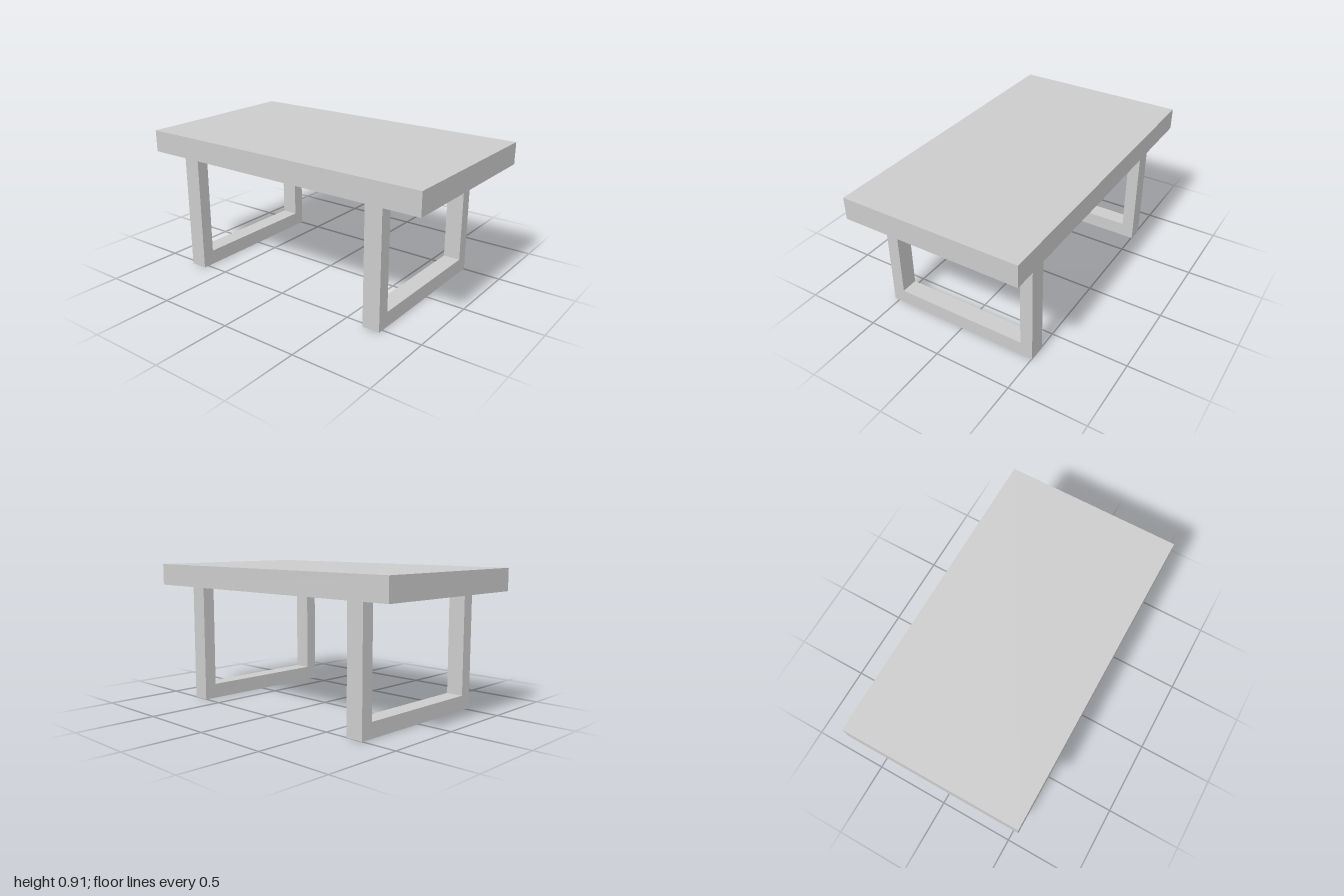
import * as THREE from 'three';

const TOP_Y = 0.907, UNDER_Y = 0.765;   // table top surfaces
const FRONT_Z = 0.534, BACK_Z = -0.504; // outer faces of the leg frames
const POST = 0.081, RAIL = 0.096;       // post depth and floor rail height
const FRAME_W = 0.113;

export function createModel() {
  const model = new THREE.Group();
  model.name = 'table';
  const material = new THREE.MeshStandardMaterial({ color: 0xcccccc, flatShading: true });

  // Thick slab top
  const top = new THREE.Mesh(new THREE.BoxGeometry(2, TOP_Y - UNDER_Y, 1.144), material);
  top.name = 'tableTop';
  top.position.y = (TOP_Y + UNDER_Y) / 2;
  model.add(top);

  // U-shaped leg frame: profile drawn in (z, y), extruded along x
  const profile = new THREE.Shape([
    [BACK_Z, 0], [FRONT_Z, 0], [FRONT_Z, UNDER_Y], [FRONT_Z - POST, UNDER_Y],
    [FRONT_Z - POST, RAIL], [BACK_Z + POST, RAIL], [BACK_Z + POST, UNDER_Y], [BACK_Z, UNDER_Y],
  ].map(([z, y]) => new THREE.Vector2(z, y)));
  const frame = new THREE.ExtrudeGeometry(profile, { depth: FRAME_W, bevelEnabled: false });
  frame.translate(0, 0, -FRAME_W / 2).rotateY(-Math.PI / 2);

  // The pair sits slightly off centre under the top
  for (const [name, x] of [['leftLegFrame', 0.689], ['rightLegFrame', -0.715]]) {
    const leg = new THREE.Mesh(frame, material);
    leg.name = name;
    leg.position.x = x;
    model.add(leg);
  }
  return model;
}
